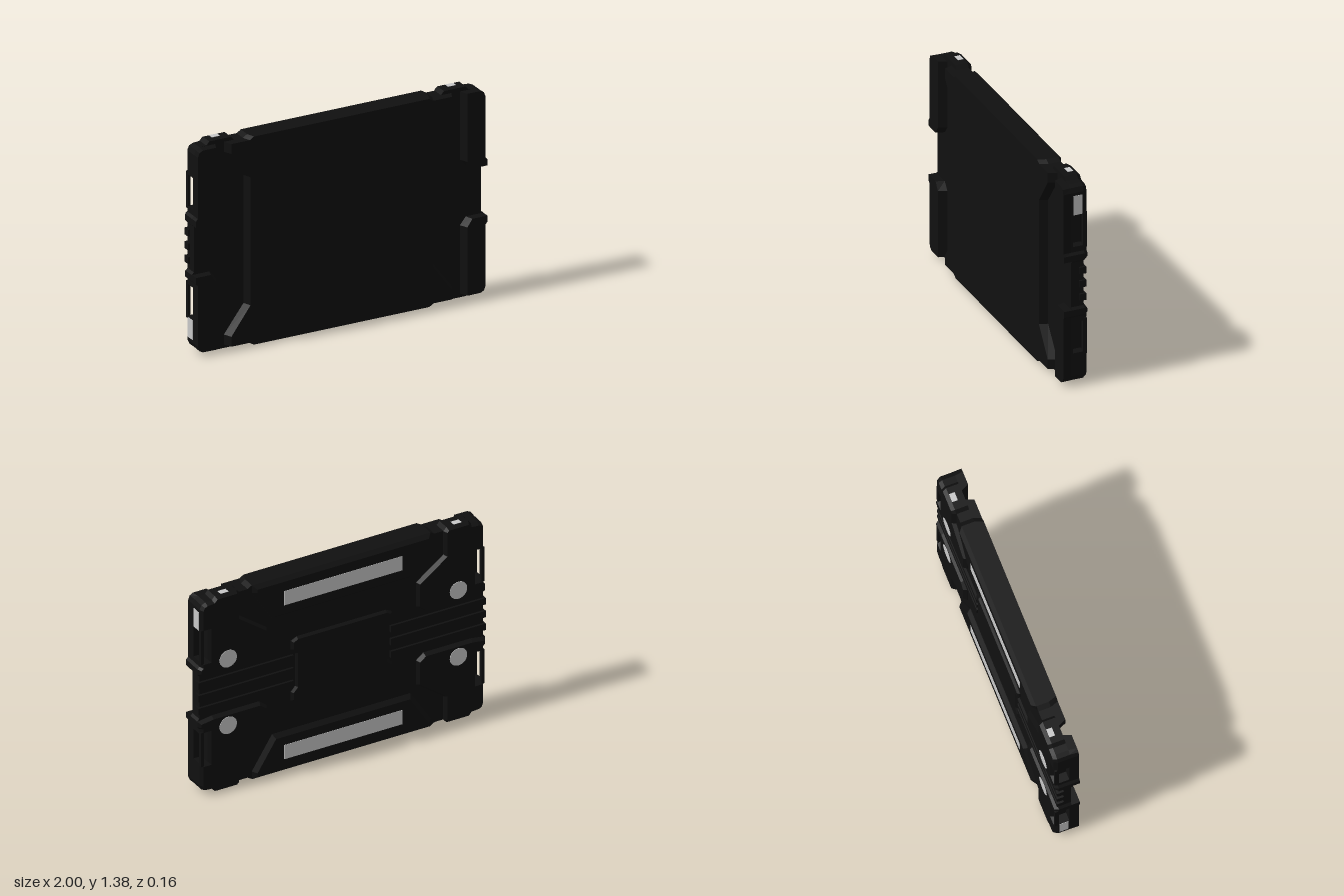
import * as THREE from 'three';

const CY = 0.695; // height of the case centre; outlines below are measured from it

const shell = new THREE.MeshStandardMaterial({ color: 0x101010 });
shell.name = 'black shell';
const label = new THREE.MeshStandardMaterial({ color: 0xc8c8c8 });
label.name = 'light grey label';

// One quarter of an outline, mirrored into a closed ring
function ring(q) {
  const flip = (pts, sx, sy) => pts.map(([x, y]) => [x * sx, y * sy]);
  const r = [...q].reverse();
  return [...q, ...flip(r, 1, -1), ...flip(q, -1, -1), ...flip(r, -1, 1)];
}
const mirror = (pts, sx, sy) => pts.map(([x, y]) => [x * sx, y * sy]);
const toShape = (pts) => new THREE.Shape(pts.map(([x, y]) => new THREE.Vector2(x, y)));
const corners = [[1, 1], [-1, 1], [1, -1], [-1, -1]];

export function createModel() {
  const group = new THREE.Group();

  function add(name, geometry, material, x = 0, y = 0, z = 0) {
    const mesh = new THREE.Mesh(geometry, material);
    mesh.name = name;
    mesh.position.set(x, CY + y, z);
    group.add(mesh);
    return mesh;
  }

  // Straight slab between two depths
  function slab(name, pts, z0, z1) {
    const g = new THREE.ExtrudeGeometry(toShape(pts), { depth: z1 - z0, bevelEnabled: false });
    return add(name, g, shell, 0, 0, z0);
  }

  // Front slab whose x narrows towards a fixed x at its front face
  function taperedSlab(name, pts, z0, z1, fixedX, k) {
    const mesh = slab(name, pts, z0, z1);
    const p = mesh.geometry.attributes.position;
    for (let i = 0; i < p.count; i++) {
      if (p.getZ(i) > (z1 - z0) / 2) p.setX(i, fixedX + (p.getX(i) - fixedX) * k);
    }
    mesh.geometry.computeVertexNormals();
  }

  // Chamfered raised pad on the back, sunk into the core
  function backPad(name, pts, zBack, size, thick) {
    const g = new THREE.ExtrudeGeometry(toShape(pts), {
      depth: 0.01, bevelEnabled: true, bevelSegments: 1,
      bevelSize: size, bevelOffset: -size, bevelThickness: thick,
    });
    add(name, g, shell, 0, 0, zBack + thick);
  }

  const box = (name, w, h, d, x, y, z, mat = shell) =>
    add(name, new THREE.BoxGeometry(w, h, d), mat, x, y, z);

  // Core: a closed front skin and a body with four side slots
  const rim = [[0.62, 0.683], [0.65, 0.665], [0.71, 0.665], [0.73, 0.688], [0.88, 0.688],
    [0.9, 0.665], [0.945, 0.662], [0.972, 0.65], [0.985, 0.62]];
  const bump = [[0.985, 0.22], [1, 0.205], [1, 0.165], [0.985, 0.15]];
  const slot = [[0.985, 0.465], [0.93, 0.465], [0.93, 0.255], [0.985, 0.255]];
  slab('coreSkin', ring([...rim, ...bump]), 0.02, 0.03);
  slab('coreBody', ring([...rim, ...slot, ...bump]), -0.05, 0.02);

  // Front panel with sloped sides
  taperedSlab('frontPanel',
    ring([[0.62, 0.683], [0.65, 0.665], [0.78, 0.665], [0.78, 0.6], [0.645, 0.42]]),
    0.03, 0.083, 0, 0.97);

  // Corner guards, front and back
  const frontGuard = [[0.84, 0.663], [0.945, 0.662], [0.972, 0.65], [0.985, 0.62],
    [0.985, 0.22], [1, 0.205], [1, 0.165], [0.88, 0.165], [0.84, 0.215]];
  const backGuard = [[0.71, 0.665], [0.73, 0.688], [0.88, 0.688], [0.9, 0.665], [0.945, 0.662],
    [0.972, 0.65], [0.985, 0.62], ...slot, [0.985, 0.22], [1, 0.205], [1, 0.165],
    [0.9, 0.15], [0.57, 0.15], [0.52, 0.19], [0.52, 0.36], [0.71, 0.5]];
  for (const [sx, sy] of corners) {
    taperedSlab('frontGuard', mirror(frontGuard, sx, sy), 0.03, 0.083, sx, 0.86);
    backPad('backGuard', mirror(backGuard, sx, sy), -0.077, 0.015, 0.024);
    box('slotBar', 0.02, 0.24, 0.025, sx * 0.975, sy * 0.36, -0.06);

    // Round foot on each guard
    const foot = new THREE.CylinderGeometry(0.06, 0.06, 0.006, 32).rotateX(Math.PI / 2);
    add('roundFoot', foot, label, sx * 0.8, sy * 0.235, -0.077);

    // Small label on each end post
    box('postLabel', 0.055, 0.004, 0.037, sx * 0.81, sy * 0.688, -0.033, label);
  }

  // Long back pads with their label strips
  for (const s of [1, -1]) {
    const pad = [[-0.62, 0.683], [0.62, 0.683], [0.62, 0.63], [0.48, 0.41], [-0.48, 0.41], [-0.62, 0.63]];
    backPad('longPad', mirror(pad, 1, s), -0.077, 0.025, 0.024);
    box('stripLabel', 0.82, 0.1, 0.004, 0, s * 0.543, -0.077, label);

    // Side label, turned half way round on the opposite end
    box('sideLabel', 0.004, 0.13, 0.06, s * 0.985, s * 0.535, -0.015, label);

    // Horizontal ribs running out past the edges
    for (const y of [-0.09, 0, 0.09]) {
      box('rib', 0.66, 0.045, 0.045, s * 0.668, y, -0.0425);
    }
  }

  // Waisted centre panel on the back
  backPad('centrePad', ring([[0.31, 0.23], [0.35, 0.21], [0.35, 0.15], [0.32, 0.115]]),
    -0.068, 0.012, 0.014);

  return group;
}
